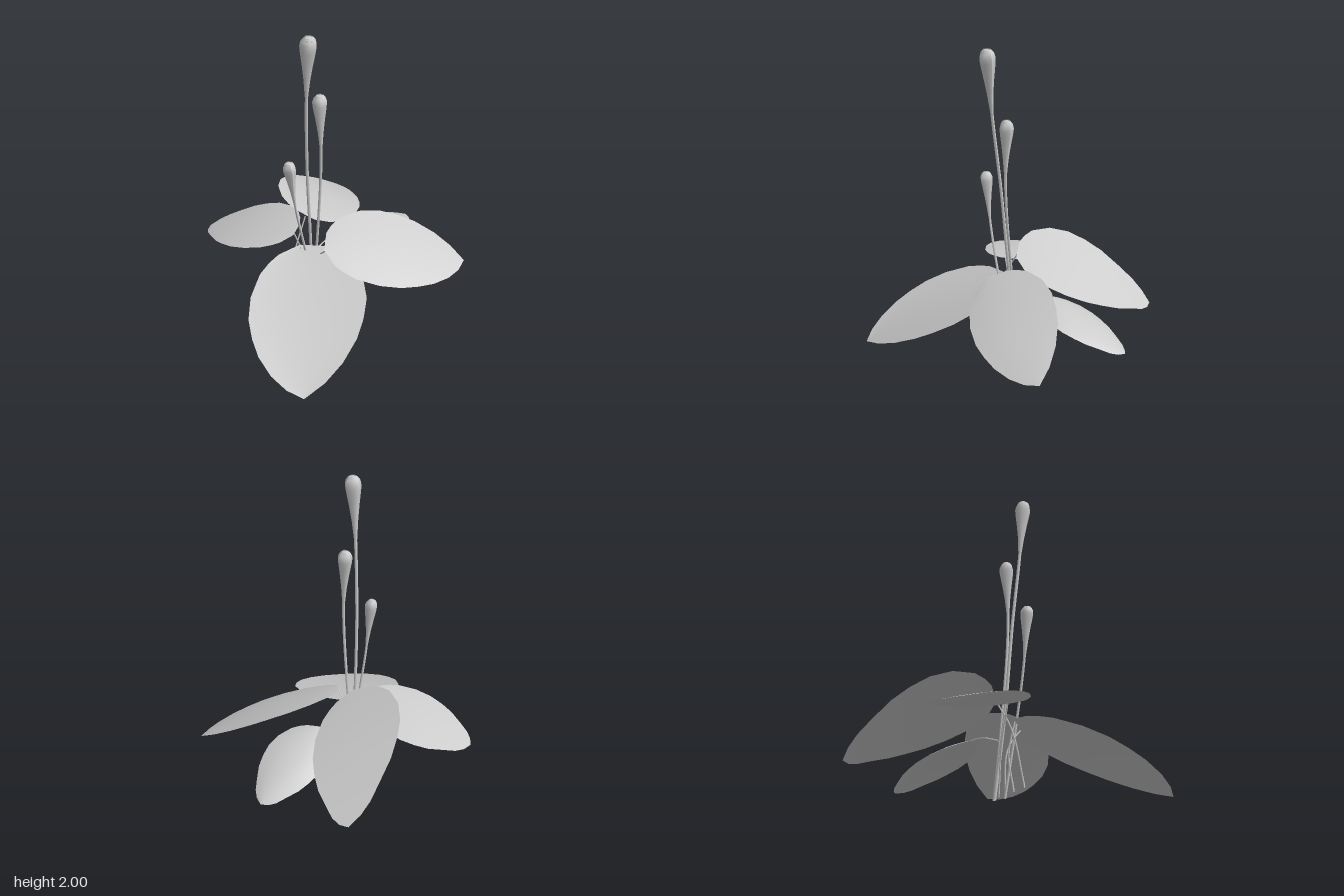
import * as THREE from 'three';

const V = (p) => new THREE.Vector3(...p);
const material = new THREE.MeshStandardMaterial({ color: 0xcccccc, side: THREE.DoubleSide });

// Piecewise linear lookup in [[t, value], ...]
function sample(profile, t) {
  for (let i = 1; i < profile.length; i++) {
    const [t0, a] = profile[i - 1], [t1, b] = profile[i];
    if (t <= t1) return a + (b - a) * Math.max(0, (t - t0) / (t1 - t0));
  }
  return profile[profile.length - 1][1];
}

// Tube whose radius follows radiusAt(distance from the far end)
function taperedTube(points, segments, sides, radiusAt) {
  const curve = new THREE.CatmullRomCurve3(points.map(V));
  const length = curve.getLength();
  const geometry = new THREE.TubeGeometry(curve, segments, 1, sides, false);
  const pos = geometry.attributes.position, v = new THREE.Vector3();
  for (let i = 0; i <= segments; i++) {
    const centre = curve.getPointAt(i / segments);
    const r = radiusAt(length * (1 - i / segments));
    for (let j = 0; j <= sides; j++) {
      const k = i * (sides + 1) + j;
      v.fromBufferAttribute(pos, k).sub(centre).multiplyScalar(r).add(centre);
      pos.setXYZ(k, v.x, v.y, v.z);
    }
  }
  geometry.computeVertexNormals();
  return geometry;
}

// Half-width of a blade along its midrib: broad base, pointed or rounded tip
const bladeRows = [[-0.015, 0], [0.03, 0.43], [0.08, 0.62], [0.15, 0.8], [0.3, 0.98], [0.45, 1.02],
  [0.58, 0.95], [0.7, 0.83], [0.83, 0.6]];
const pointedTip = [[0.93, 0.32], [1, 0]];
const roundedTip = [[0.92, 0.43], [0.98, 0.24], [1.02, 0]];

// Blade spanned by base, tip and the two edge points near its widest row
function leafGeometry({ base, tip, edgeA, edgeB, arch, end }) {
  const b = V(base), t = V(tip);
  const rib = (u) => {
    const p = b.clone().lerp(t, u);
    p.y += arch * 4 * Math.max(0, u) * (1 - u);
    return p;
  };
  const a = V(edgeA).sub(rib(0.42)), c = V(edgeB).sub(rib(0.42));
  const skew = c.clone().sub(a).multiplyScalar(0.5);
  const cup = c.clone().add(a).multiplyScalar(0.5);
  const cols = 8, positions = [], index = [];
  [...bladeRows, ...end].forEach(([u, w], i) => {
    for (let j = 0; j <= cols; j++) {
      const s = (j / cols) * 2 - 1;
      const p = rib(u).addScaledVector(skew, s * w).addScaledVector(cup, s * s * w);
      positions.push(p.x, p.y, p.z);
      if (i && j) {
        const k = i * (cols + 1) + j, m = k - cols - 1;
        index.push(m - 1, k - 1, m, m, k - 1, k);
      }
    }
  });
  const geometry = new THREE.BufferGeometry();
  geometry.setAttribute('position', new THREE.Float32BufferAttribute(positions, 3));
  geometry.setIndex(index);
  geometry.computeVertexNormals();
  return geometry;
}

const leaves = {
  frontRightLeaf: { base: [-0.25, 0.45, -0.03], tip: [-0.6, 0.04, 0.82], arch: 0.02,
    edgeA: [-0.715, 0.275, 0.25], edgeB: [-0.02, 0.355, 0.46], end: pointedTip },
  frontLeftLeaf: { base: [-0.14, 0.51, 0.14], tip: [0.75, 0.295, 0.385], arch: 0.04,
    edgeA: [0.29, 0.572, -0.025], edgeB: [0.2, 0.335, 0.47], end: pointedTip },
  backLeftLeaf: { base: [-0.12, 0.6, -0.08], tip: [0.37, 0.27, -0.79], arch: 0.06,
    edgeA: [-0.18, 0.65, -0.51], edgeB: [0.3, 0.41, -0.29], end: roundedTip },
  backRightLeaf: { base: [-0.29, 0.54, -0.06], tip: [-0.65, 0.33, -0.64], arch: 0.03,
    edgeA: [-0.19, 0.47, -0.49], edgeB: [-0.64, 0.455, -0.21], end: roundedTip },
  sideLeaf: { base: [0.14, 0.43, -0.1], tip: [0.685, 0.22, -0.31], arch: 0.04,
    edgeA: [0.3, 0.31, -0.35], edgeB: [0.44, 0.365, 0], end: roundedTip },
};

// Thin leaf stems running to each blade
const petioles = [
  [[-0.25, 0.03, -0.03], [-0.23, 0.25, -0.05], [-0.25, 0.45, -0.02]],
  [[-0.17, 0.01, -0.04], [-0.17, 0.3, -0.02], [-0.14, 0.51, 0.14]],
  [[-0.36, 0.03, -0.03], [-0.28, 0.38, -0.06], [-0.17, 0.61, -0.12]],
  [[-0.17, 0.01, -0.08], [-0.2, 0.3, -0.08], [-0.27, 0.54, -0.08]],
  [[-0.13, 0.36, -0.06], [0, 0.41, -0.09], [0.14, 0.43, -0.1]],
];

// Tall stalks with a club-shaped bud; scale sets the bud size
const stalks = [
  { path: [[-0.14, 0, -0.09], [-0.17, 0.5, -0.04], [-0.2, 1.1, 0], [-0.215, 1.6, 0.05], [-0.21, 2, 0.085]], scale: 1 },
  { path: [[-0.135, 0, -0.09], [-0.125, 0.5, -0.03], [-0.115, 1.1, 0.02], [-0.115, 1.57, 0.01]], scale: 0.9 },
  { path: [[-0.17, 0.01, -0.04], [-0.22, 0.4, 0], [-0.29, 0.8, 0.02], [-0.33, 1.165, 0.025]], scale: 0.8 },
];
const budProfile = [[0, 0.025], [0.02, 0.042], [0.05, 0.051], [0.09, 0.047], [0.18, 0.033], [0.28, 0.02], [0.4, 0.01]];

export function createModel() {
  const model = new THREE.Group();
  model.name = 'floweringPlant';
  const add = (name, geometry) => {
    const mesh = new THREE.Mesh(geometry, material);
    mesh.name = name;
    model.add(mesh);
  };
  for (const [name, leaf] of Object.entries(leaves)) add(name, leafGeometry(leaf));
  petioles.forEach((path, i) => add(`leafStem${i + 1}`, taperedTube(path, 12, 5, () => 0.005)));
  stalks.forEach(({ path, scale }, i) => {
    add(`budStalk${i + 1}`, taperedTube(path, 100, 7, (d) => Math.max(0.008, scale * sample(budProfile, d / scale))));
    // Rounded cap closing the bud
    const cap = new THREE.SphereGeometry(0.036 * scale, 8, 4);
    cap.scale(1, 0.5, 1);
    const [x, y, z] = path[path.length - 1];
    cap.translate(x, y - 0.018 * scale, z);
    add(`budCap${i + 1}`, cap);
  });
  return model;
}
